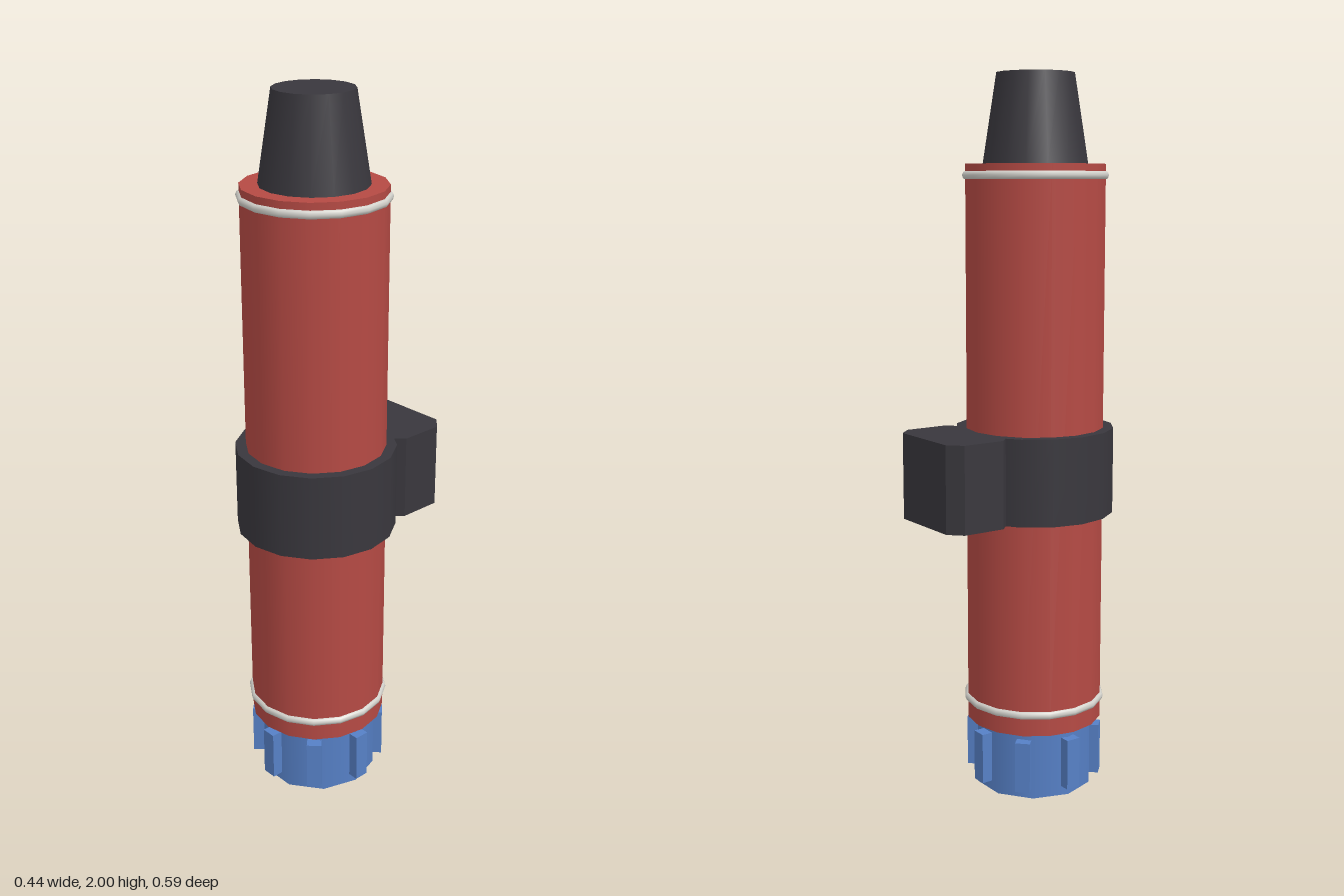
import * as THREE from 'three';

export function createModel() {
  const group = new THREE.Group();
  const mat = (name, color) => {
    const m = new THREE.MeshStandardMaterial({ color });
    m.name = name;
    return m;
  };
  const red = mat('red paint', 0xb54a44);
  const dark = mat('dark rubber', 0x39373d);
  const pale = mat('pale metal', 0xd2d1cb);
  const blue = mat('blue plastic', 0x5680c6);
  const axisZ = 0.07; // the tube sits forward of the mount block

  const add = (name, geometry, material, x, y, z) => {
    const mesh = new THREE.Mesh(geometry, material);
    mesh.name = name;
    mesh.position.set(x, y, z);
    group.add(mesh);
    return mesh;
  };
  // 16-sided drum between two heights
  const drum = (name, rTop, rBottom, y0, y1, material, sides = 16) =>
    add(name, new THREE.CylinderGeometry(rTop, rBottom, y1 - y0, sides), material, 0, (y0 + y1) / 2, axisZ);

  // Main tube, tapered nozzle and central clamp
  drum('bodyTube', 0.193, 0.193, 0.195, 1.76, red);
  drum('nozzle', 0.107, 0.145, 1.76, 2, dark);
  drum('clampCollar', 0.222, 0.222, 0.8, 1.04, dark);

  // Thin trim rings near both ends
  for (const [name, y] of [['lowerRing', 0.255], ['upperRing', 1.73]]) {
    const ring = new THREE.TorusGeometry(0.19, 0.012, 8, 16);
    ring.rotateX(Math.PI / 2);
    add(name, ring, pale, 0, y, axisZ);
  }

  // Mount block with chamfered vertical edges, behind the clamp
  const w = 0.145, d = 0.097, c = 0.036;
  const outline = new THREE.Shape([
    [w - c, -d], [w, c - d], [w, d - c], [w - c, d],
    [c - w, d], [-w, d - c], [-w, c - d], [c - w, -d],
  ].map(([x, y]) => new THREE.Vector2(x, y)));
  const block = new THREE.ExtrudeGeometry(outline, { depth: 0.24, bevelEnabled: false });
  block.rotateX(-Math.PI / 2);
  add('mountBlock', block, dark, 0, 0.8, -0.196);

  // Bottom knob with grip ridges
  const knob = drum('knob', 0.169, 0.169, 0, 0.195, blue, 10);
  knob.rotation.y = Math.PI / 2;
  for (let i = 0; i < 8; i++) {
    const a = (i * Math.PI) / 4;
    const ridge = add('knobRidge', new THREE.BoxGeometry(0.042, 0.145, 0.045), blue,
      Math.sin(a) * 0.17, 0.1, axisZ + Math.cos(a) * 0.17);
    ridge.rotation.y = a;
  }
  return group;
}
